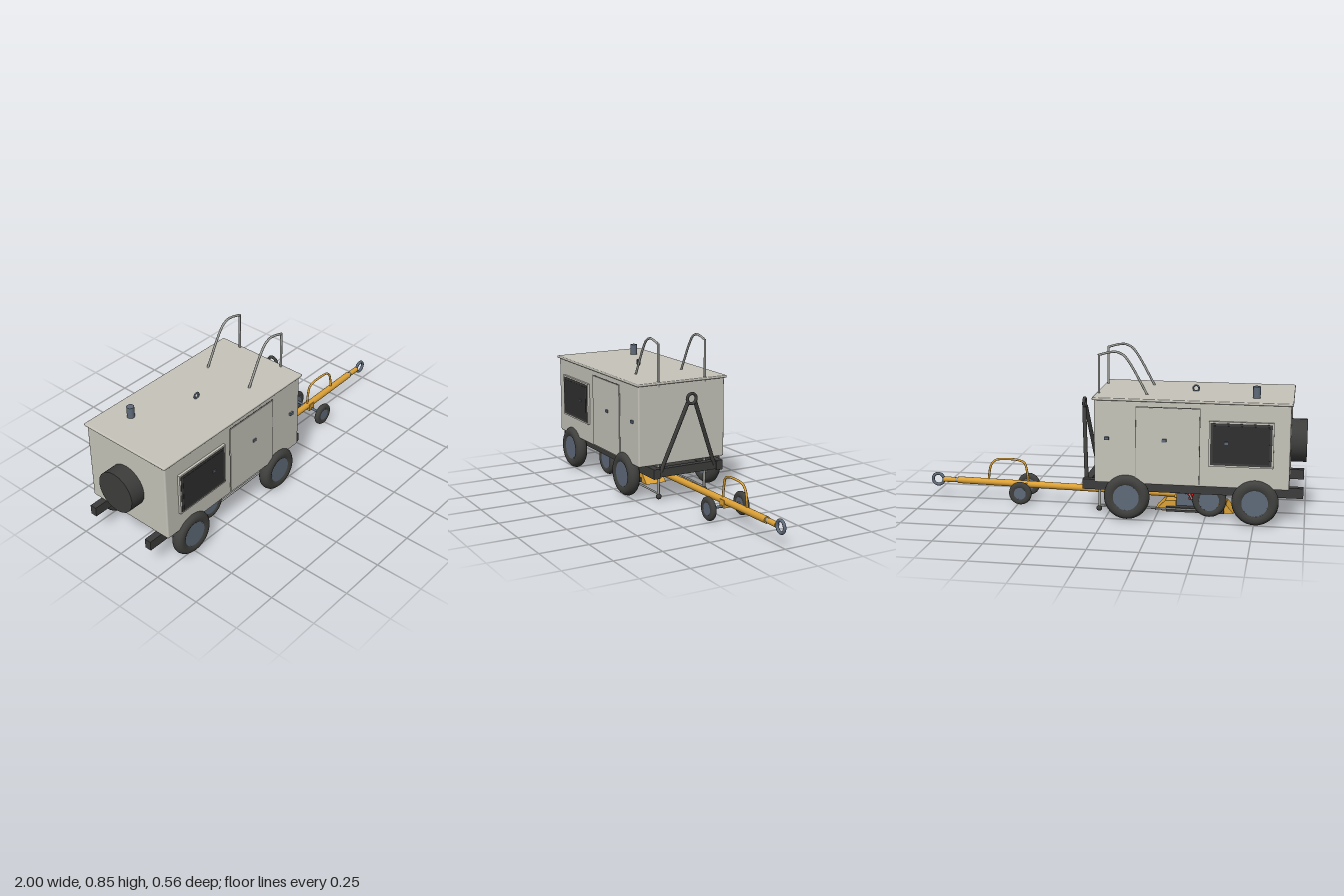
import * as THREE from 'three';
import { RoundedBoxGeometry } from 'three/addons/geometries/RoundedBoxGeometry.js';

const mat = (name, color, side = THREE.FrontSide) => {
  const m = new THREE.MeshStandardMaterial({ color, side });
  m.name = name;
  return m;
};

export function createModel() {
  const paint = mat('pale grey paint', 0xc6c4ba);
  const dark = mat('dark frame', 0x3d3d3c);
  const rubber = mat('rubber', 0x40403e);
  const black = mat('grille black', 0x2f2f2f);
  const steel = mat('blue grey steel', 0x5f6b7a);
  const pipe = mat('grey pipe', 0x9b9b97);
  const amber = mat('amber', 0xdca136);
  const red = mat('red', 0xd01c1c);

  const root = new THREE.Group();
  root.name = 'towedServiceCart';

  const add = (name, geo, m, x = 0, y = 0, z = 0, parent = root) => {
    const mesh = new THREE.Mesh(geo, m);
    mesh.name = name;
    mesh.position.set(x, y, z);
    parent.add(mesh);
    return mesh;
  };
  // Box given by its limits on each axis
  const box = (name, m, x0, x1, y0, y1, z0, z1, r = 0) => add(name,
    r ? new RoundedBoxGeometry(x1 - x0, y1 - y0, z1 - z0, 2, r) : new THREE.BoxGeometry(x1 - x0, y1 - y0, z1 - z0),
    m, (x0 + x1) / 2, (y0 + y1) / 2, (z0 + z1) / 2);
  // Round bar between two points
  const rod = (name, m, a, b, r, r2 = r) => {
    const p = new THREE.Vector3(...a), q = new THREE.Vector3(...b);
    const d = q.clone().sub(p);
    const mesh = add(name, new THREE.CylinderGeometry(r2, r, d.length(), 20), m);
    mesh.position.copy(p).add(q).multiplyScalar(0.5);
    mesh.quaternion.setFromUnitVectors(new THREE.Vector3(0, 1, 0), d.normalize());
    return mesh;
  };
  const bentTube = (name, m, pts, r) => add(name, new THREE.TubeGeometry(
    new THREE.CatmullRomCurve3(pts.map(p => new THREE.Vector3(...p)), false, 'catmullrom', 0.4), 48, r, 10), m);

  // Wheel: rounded tyre ring with a disc hub
  const wheel = (name, x, y, z, R, w, hubR) => {
    const g = new THREE.Group();
    g.name = name;
    g.position.set(x, y, z);
    g.rotation.x = Math.PI / 2;
    root.add(g);
    const h = w / 2, i = hubR;
    const side = [[i, -h * 0.8], [i + (R - i) * 0.25, -h], [i + (R - i) * 0.6, -h * 0.97],
      [R - h * 0.35, -h * 0.75], [R - h * 0.1, -h * 0.45], [R, 0]];
    const profile = [...side, ...side.slice(0, -1).reverse().map(([a, b]) => [a, -b])];
    add('tyre', new THREE.LatheGeometry(profile.map(p => new THREE.Vector2(...p)), 40), rubber, 0, 0, 0, g);
    add('hub', new THREE.CylinderGeometry(i, i, w * 0.8, 32), steel, 0, 0, 0, g);
  };

  // Cabinet and roof
  box('cabinet', paint, -0.92, 0.055, 0.19, 0.615, -0.255, 0.255, 0.008);
  box('roof', paint, -0.93, 0.065, 0.613, 0.627, -0.265, 0.265, 0.005);

  // Side doors, grilles and latches on both sides
  for (const s of [1, -1]) {
    const plate = (name, m, x0, x1, y0, y1, a, b) =>
      box(name, m, x0, x1, y0, y1, Math.min(s * a, s * b), Math.max(s * a, s * b));
    plate('doorGap', dark, -0.478, -0.155, 0.2, 0.588, 0.254, 0.2555);
    plate('centreDoor', paint, -0.475, -0.158, 0.2, 0.584, 0.254, 0.259);
    plate('endDoorSeam', pipe, -0.157, -0.154, 0.2, 0.584, 0.254, 0.2565);
    plate('grilleFrame', paint, -0.84, -0.522, 0.3, 0.528, 0.254, 0.268);
    plate('grilleBorder', dark, -0.832, -0.53, 0.308, 0.52, 0.267, 0.27);
    plate('grille', black, -0.82, -0.542, 0.32, 0.508, 0.269, 0.2715);
    plate('grilleLatch', steel, -0.618, -0.6, 0.414, 0.428, 0.27, 0.276);
    for (const x of [-0.3, -0.01]) plate('doorLatch', steel, x - 0.011, x + 0.011, 0.413, 0.428, 0.254, 0.265);
  }

  // Rear fan housing, exhaust stack and lifting eye
  rod('fanHousing', dark, [-1, 0.39, 0], [-0.92, 0.39, 0], 0.11);
  rod('exhaustStack', steel, [-0.745, 0.62, -0.135], [-0.745, 0.685, -0.135], 0.019);
  add('liftingEye', new THREE.TorusGeometry(0.015, 0.0045, 10, 28), steel, -0.43, 0.641, 0);

  // Chassis
  for (const s of [1, -1]) {
    const z = s * 0.187;
    box('chassisRail', dark, -0.99, 0.125, 0.138, 0.19, z - 0.018, z + 0.018);
    wheel('frontWheel', -0.11, 0.12, s * 0.245, 0.117, 0.066, 0.066);
    wheel('rearWheel', -0.755, 0.12, s * 0.245, 0.117, 0.066, 0.066);
  }
  for (const x of [-0.86, -0.5, -0.22, 0.1]) box('crossMember', dark, x - 0.018, x + 0.018, 0.143, 0.188, -0.17, 0.17);
  for (const x of [-0.11, -0.755]) rod('axle', dark, [x, 0.13, -0.23], [x, 0.13, 0.23], 0.013);

  // A-frame with its eye
  for (const s of [1, -1]) rod('hitchLeg', dark, [0.112, 0.17, s * 0.16], [0.15, 0.525, s * 0.022], 0.0105);
  add('hitchEye', new THREE.TorusGeometry(0.026, 0.008, 12, 32), dark, 0.152, 0.545, 0).rotation.y = Math.PI / 2;

  // Ladder rails on the roof and pipe runners below
  for (const s of [1, -1]) {
    const z = s * 0.138;
    bentTube('ladderRail', pipe, [[-0.205, 0.61, z], [-0.17, 0.675, z], [-0.12, 0.765, z], [-0.08, 0.82, z],
      [-0.04, 0.839, z], [0.0, 0.836, z], [0.05, 0.822, z]], 0.006);
    rod('ladderPost', pipe, [0.05, 0.6, z], [0.05, 0.825, z], 0.006);
    rod('runnerPost', pipe, [0.048, 0.19, z], [0.048, 0.025, z], 0.007);
    rod('runner', pipe, [-0.46, 0.034, z], [0.048, 0.034, z], 0.005);
    rod('runnerBackPost', pipe, [-0.4, 0.15, z], [-0.46, 0.034, z], 0.005);
    add('runnerFoot', new THREE.SphereGeometry(0.015, 16, 12), dark, 0.05, 0.02, z);
    wheel('bogieWheel', -0.52, 0.092, s * 0.147, 0.087, 0.044, 0.052);
    wheel('towBarWheel', 0.482, 0.066, s * 0.095, 0.061, 0.03, 0.032);
  }
  rod('runnerCrossBar', dark, [0.048, 0.13, -0.135], [0.048, 0.13, 0.135], 0.006);
  rod('bogieAxle', steel, [-0.52, 0.09, -0.14], [-0.52, 0.09, 0.14], 0.01);
  rod('towBarAxle', steel, [0.482, 0.066, -0.095], [0.482, 0.066, 0.095], 0.007);

  // Red bogie drum and struts
  rod('bogieDrum', red, [-0.42, 0.09, 0], [-0.42, 0.165, 0], 0.055, 0.075);
  rod('bogieFlange', red, [-0.42, 0.165, 0], [-0.42, 0.188, 0], 0.095);
  rod('bogieBar', red, [-0.42, 0.09, -0.125], [-0.42, 0.09, 0.125], 0.009);
  for (const s of [1, -1]) for (const d of [-0.09, 0.09])
    rod('bogieStrut', red, [-0.42, 0.09, s * 0.09], [-0.42 + d, 0.185, s * 0.09], 0.006);

  // Base plate with sloped amber ends
  box('basePlate', dark, -0.59, -0.29, 0.002, 0.025, -0.082, 0.082);
  box('basePedestal', steel, -0.5, -0.34, 0.025, 0.09, -0.04, 0.04);
  const ramp = (name, pts) => add(name, new THREE.ExtrudeGeometry(
    new THREE.Shape(pts.map(p => new THREE.Vector2(...p))), { depth: 0.12, bevelEnabled: false }), amber, 0, 0, -0.06);
  ramp('rearRamp', [[-0.638, 0], [-0.54, 0], [-0.54, 0.045], [-0.6, 0.045]]);
  ramp('frontRamp', [[-0.34, 0], [-0.23, 0], [-0.285, 0.055], [-0.34, 0.055]]);

  // Tow bar with yoke, handle and ring
  for (const s of [1, -1]) box('towYoke', amber, -0.39, -0.33, 0.065, 0.095, s * 0.026 - 0.006, s * 0.026 + 0.006);
  rod('towBar', amber, [-0.36, 0.077, 0], [0.85, 0.097, 0], 0.018);
  rod('towCoupling', pipe, [0.85, 0.097, 0], [0.865, 0.097, 0], 0.012);
  rod('towTip', amber, [0.863, 0.097, 0], [0.93, 0.097, 0], 0.014);
  add('towRing', new THREE.TorusGeometry(0.03, 0.008, 12, 36), steel, 0.962, 0.097, 0);
  box('wheelBracket', amber, 0.462, 0.502, 0.06, 0.1, -0.02, 0.02);
  bentTube('towHandle', amber, [[0.462, 0.1, 0], [0.466, 0.15, 0], [0.48, 0.205, 0], [0.52, 0.222, 0], [0.58, 0.224, 0],
    [0.635, 0.218, 0], [0.664, 0.19, 0], [0.675, 0.15, 0], [0.68, 0.1, 0]], 0.006);

  return root;
}
